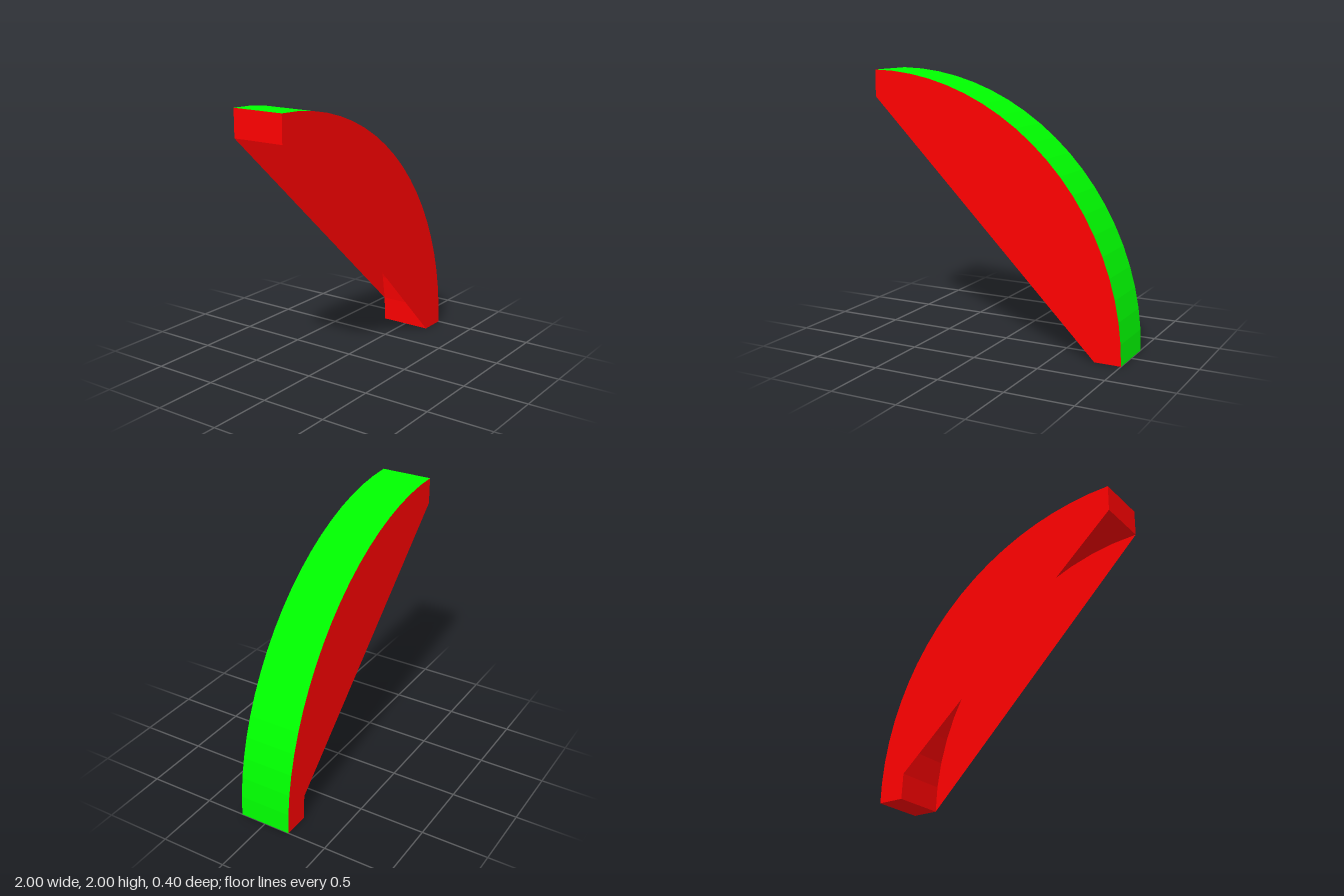
import * as THREE from 'three';

const OUTER = 2, INNER = 1.8, DEPTH = 0.4, OUTER_SEGMENTS = 20, INNER_SEGMENTS = 15;

// Point at an angle on a circle about (-1, 0)
const onArc = (radius, a) => new THREE.Vector2(radius * Math.cos(a) - 1, radius * Math.sin(a));

export function createModel() {
  const group = new THREE.Group();
  const red = new THREE.MeshStandardMaterial({ color: 0xff0000, flatShading: true, side: THREE.DoubleSide });
  const green = new THREE.MeshStandardMaterial({ color: 0x00ff00, flatShading: true, side: THREE.DoubleSide });

  const add = (name, geometry, material) => {
    const mesh = new THREE.Mesh(geometry, material);
    mesh.name = name;
    group.add(mesh);
  };

  // Outline: outer arc from the foot to the top, then straight back to the foot
  const arc = [];
  for (let i = 0; i <= OUTER_SEGMENTS; i++) arc.push(onArc(OUTER, (i / OUTER_SEGMENTS) * Math.PI / 2));
  const upper = onArc(INNER, Math.PI / 2);
  const notch = onArc(INNER, Math.PI / 2 / INNER_SEGMENTS);
  const foot = onArc(INNER, 0);

  // Front runs straight to the foot; back leaves the first inner facet open
  const front = new THREE.ShapeGeometry(new THREE.Shape([...arc, upper, foot]));
  add('frontFace', front.translate(0, 0, DEPTH / 2), red);
  const back = new THREE.ShapeGeometry(new THREE.Shape([...arc, upper, notch, foot]));
  add('backFace', back.translate(0, 0, -DEPTH / 2), red);

  // Faceted quarter-ring walls, outer and inner
  const curve = (name, radius, segments, material) => {
    const geometry = new THREE.CylinderGeometry(radius, radius, DEPTH, segments, 1, true, Math.PI / 2, Math.PI / 2);
    add(name, geometry.rotateX(Math.PI / 2).translate(-1, 0, 0), material);
  };
  curve('outerCurve', OUTER, OUTER_SEGMENTS, green);
  curve('innerCurve', INNER, INNER_SEGMENTS, red);

  // Flat ends of the ring
  const width = OUTER - INNER, middle = (OUTER + INNER) / 2;
  const lowerEnd = new THREE.PlaneGeometry(width, DEPTH).rotateX(Math.PI / 2);
  add('lowerEnd', lowerEnd.translate(middle - 1, 0, 0), red);
  const upperEnd = new THREE.PlaneGeometry(DEPTH, width).rotateY(-Math.PI / 2);
  add('upperEnd', upperEnd.translate(-1, middle, 0), red);

  return group;
}
